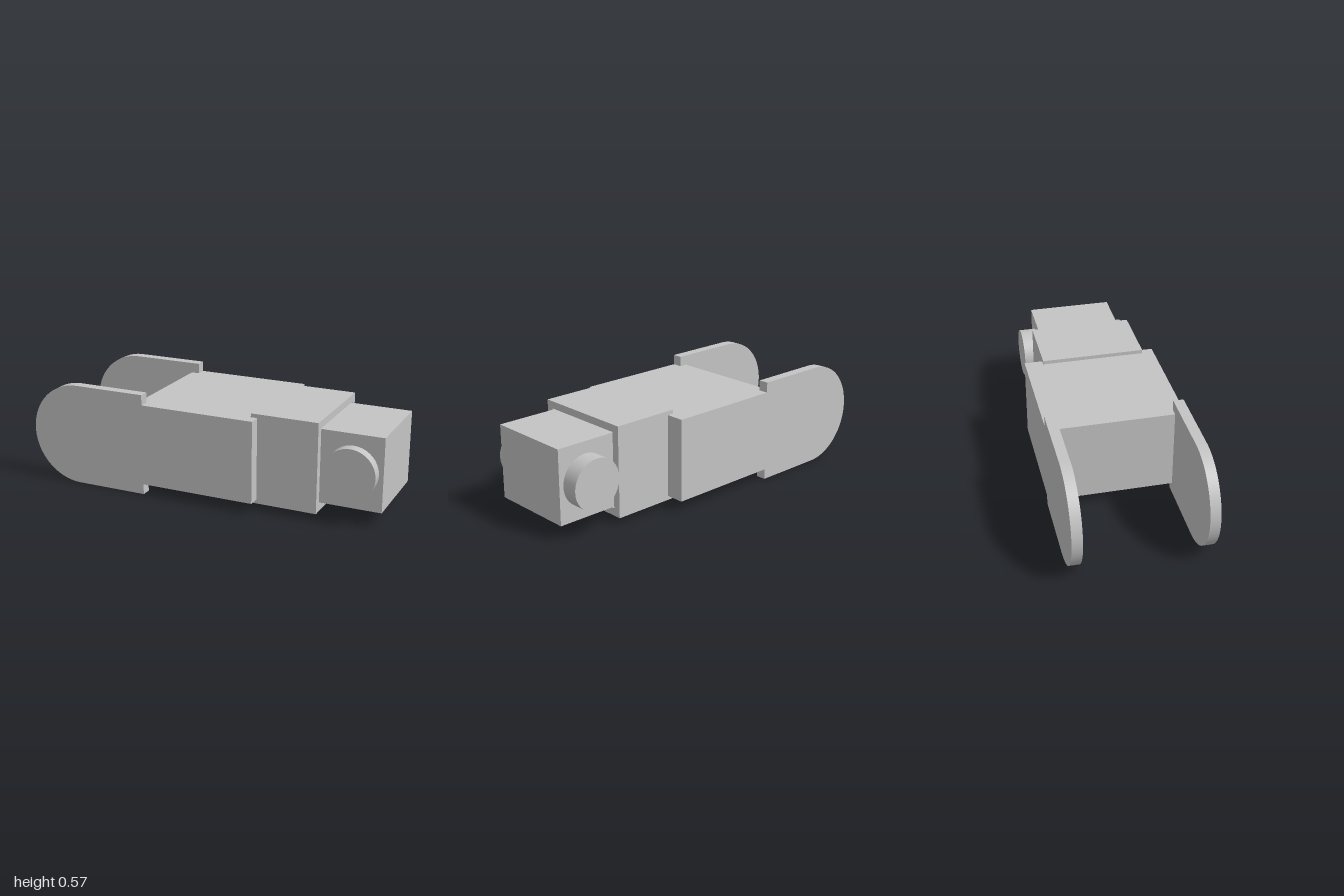
import * as THREE from 'three';

const grey = new THREE.MeshStandardMaterial({ color: 0xc4c4c4 });
grey.name = 'plain grey';

function add(parent, name, geometry) {
  const mesh = new THREE.Mesh(geometry, grey);
  mesh.name = name;
  parent.add(mesh);
  return mesh;
}

// Box given by its limits on each axis
function box(x0, x1, y0, y1, z0, z1) {
  return new THREE.BoxGeometry(x1 - x0, y1 - y0, z1 - z0)
    .translate((x0 + x1) / 2, (y0 + y1) / 2, (z0 + z1) / 2);
}

// Rounded fork arm that narrows to the height of the body
function armShape() {
  const r = 0.2835;
  const s = new THREE.Shape();
  s.moveTo(0.332, 0.058);
  s.lineTo(0.332, 0.51);
  s.lineTo(-0.31, 0.51);
  s.lineTo(-0.31, 2 * r);
  s.lineTo(-1 + r, 2 * r);
  s.absarc(-1 + r, r, r, Math.PI / 2, Math.PI * 1.5, false);
  s.lineTo(-0.31, 0);
  s.lineTo(-0.31, 0.058);
  s.closePath();
  return s;
}

// Rectangle in the z-y plane, drawn with shape x = -z
function rect(target, z0, z1, y0, y1) {
  target.moveTo(-z1, y0);
  target.lineTo(-z0, y0);
  target.lineTo(-z0, y1);
  target.lineTo(-z1, y1);
  target.closePath();
  return target;
}

export function createModel() {
  const model = new THREE.Group();
  model.name = 'hingedLink';

  // Body with a fork arm on either side
  add(model, 'body', box(-0.355, 0.332, 0.058, 0.51, -0.315, 0.315));
  const armGeometry = new THREE.ExtrudeGeometry(armShape(), {
    depth: 0.056, bevelEnabled: false, curveSegments: 40,
  });
  add(model, 'frontForkArm', armGeometry).position.z = 0.315;
  add(model, 'backForkArm', armGeometry).position.z = -0.371;

  // Collar with a close-fitting socket for the tongue
  const collar = rect(new THREE.Shape(), -0.27, 0.305, 0.036, 0.531);
  collar.holes.push(rect(new THREE.Path(), -0.228, 0.263, 0.079, 0.491));
  const collarGeometry = new THREE.ExtrudeGeometry(collar, { depth: 0.37, bevelEnabled: false });
  collarGeometry.rotateY(Math.PI / 2);
  add(model, 'collar', collarGeometry).position.x = 0.296;

  // Tongue seated in the collar
  add(model, 'tongue', box(0.33, 1, 0.084, 0.486, -0.223, 0.258));

  // Pivot pins on both sides of the tongue
  for (const [name, z0, z1] of [['frontPin', 0.25, 0.315], ['backPin', -0.315, -0.215]]) {
    const pin = add(model, name, new THREE.CylinderGeometry(0.1375, 0.1375, z1 - z0, 64));
    pin.rotation.x = Math.PI / 2;
    pin.position.set(0.838, 0.285, (z0 + z1) / 2);
  }
  return model;
}
